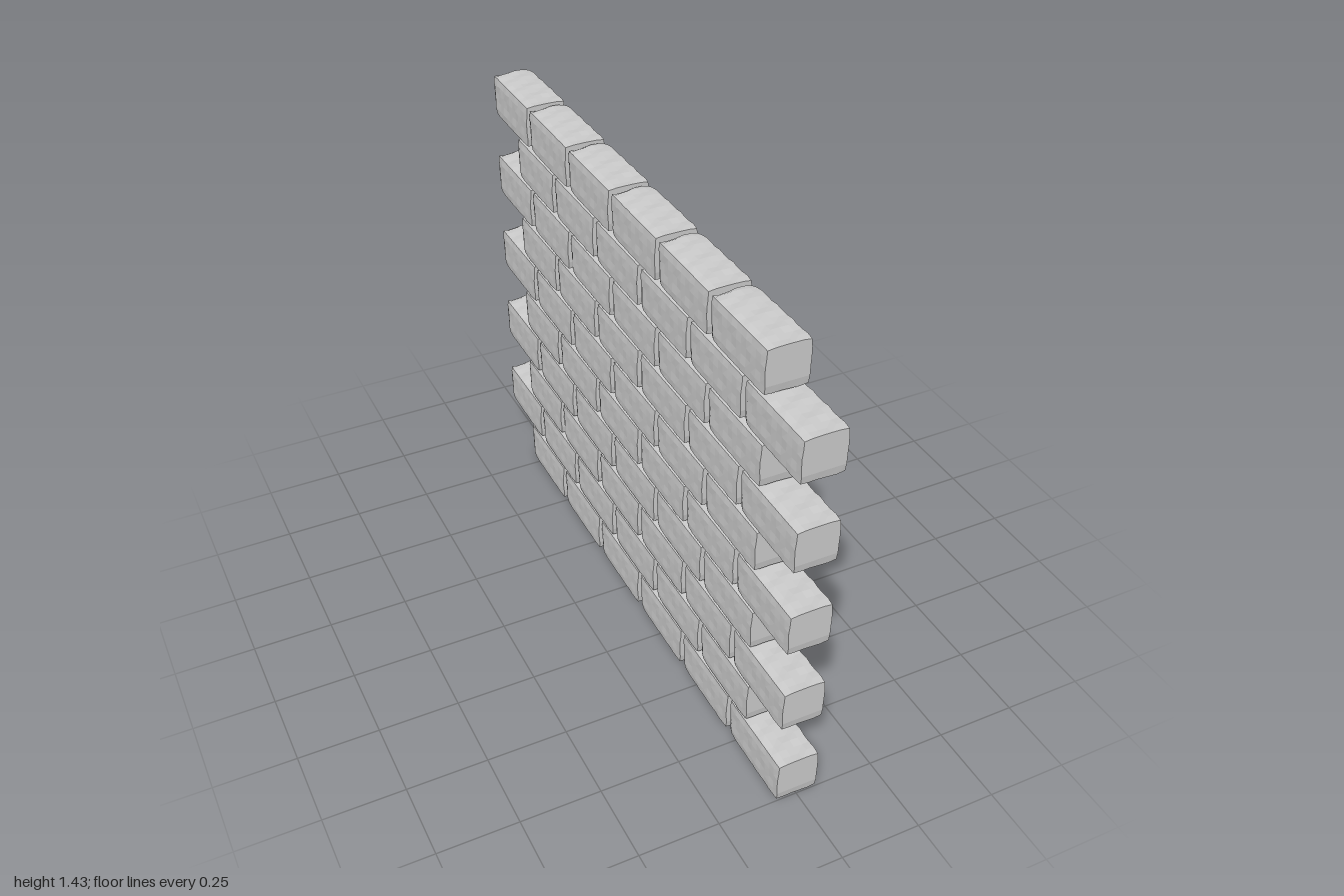
import * as THREE from 'three';

const ROWS = 10, PER_ROW = 6;
const W = 0.132, H = 0.14, L = 0.297;     // brick size in x, y, z
const PITCH_Y = 0.1433, PITCH_Z = 0.3025; // brick spacing

// Uneven stone surface: 0 (untouched) to 1 (deepest dent)
function dent(x, y, z) {
  const s = Math.sin(x * 61 + z * 47 + 1.3) * Math.sin(y * 73 - z * 38 + 0.6)
    + 0.6 * Math.sin(z * 91 + y * 52 + x * 33);
  return THREE.MathUtils.clamp(0.4 + 0.4 * s, 0, 1);
}

// One hewn brick: smooth sawn face at +z, chipped and rounded at -z
function brickGeometry() {
  const geo = new THREE.BoxGeometry(W, H, L, 5, 5, 12);
  const p = geo.attributes.position;
  for (let i = 0; i < p.count; i++) {
    const x = p.getX(i), y = p.getY(i), z = p.getZ(i);
    const u = x / (W / 2), v = y / (H / 2), t = z / (L / 2);
    const d = dent(x, y, z);
    const onX = Math.abs(u) > 0.99, onY = Math.abs(v) > 0.99;
    const chip = Math.pow(Math.max(0, -t), 8); // grows toward the rough end
    let inX = 0, inY = 0;
    if (onX) inX = 0.003 * d + 0.005 * chip;
    if (onY) inY = 0.005 * d + (v > 0 ? 0.006 : 0.008) * chip;
    // worn long edges
    if (onX && onY) { inX += 0.002; inY += 0.002; }
    let nz = z;
    if (t < -0.99) {
      nz += 0.005 * d + 0.004 * (1 - v) / 2 + 0.006 * Math.pow(Math.max(Math.abs(u), Math.abs(v)), 4);
    } else if (t > 0.99 && v < -0.99) {
      nz -= 0.004;
    }
    p.setXYZ(i, x - Math.sign(x) * inX, y - Math.sign(y) * inY, nz);
  }
  geo.computeVertexNormals();
  return geo;
}

export function createModel() {
  const wall = new THREE.Group();
  wall.name = 'brickWall';
  const geo = brickGeometry();
  const material = new THREE.MeshStandardMaterial({ color: 0xcccccc, flatShading: true });

  // Courses alternate toward the front and the back
  for (let r = 0; r < ROWS; r++) {
    const course = new THREE.Group();
    course.name = `course${r + 1}`;
    course.position.y = H / 2 + r * PITCH_Y;
    const firstZ = r % 2 === 0 ? 1 - L / 2 : -1 + L / 2 + (PER_ROW - 1) * PITCH_Z;
    for (let i = 0; i < PER_ROW; i++) {
      const brick = new THREE.Mesh(geo, material);
      brick.name = `brick${i + 1}`;
      brick.position.z = firstZ - i * PITCH_Z;
      course.add(brick);
    }
    wall.add(course);
  }
  return wall;
}
